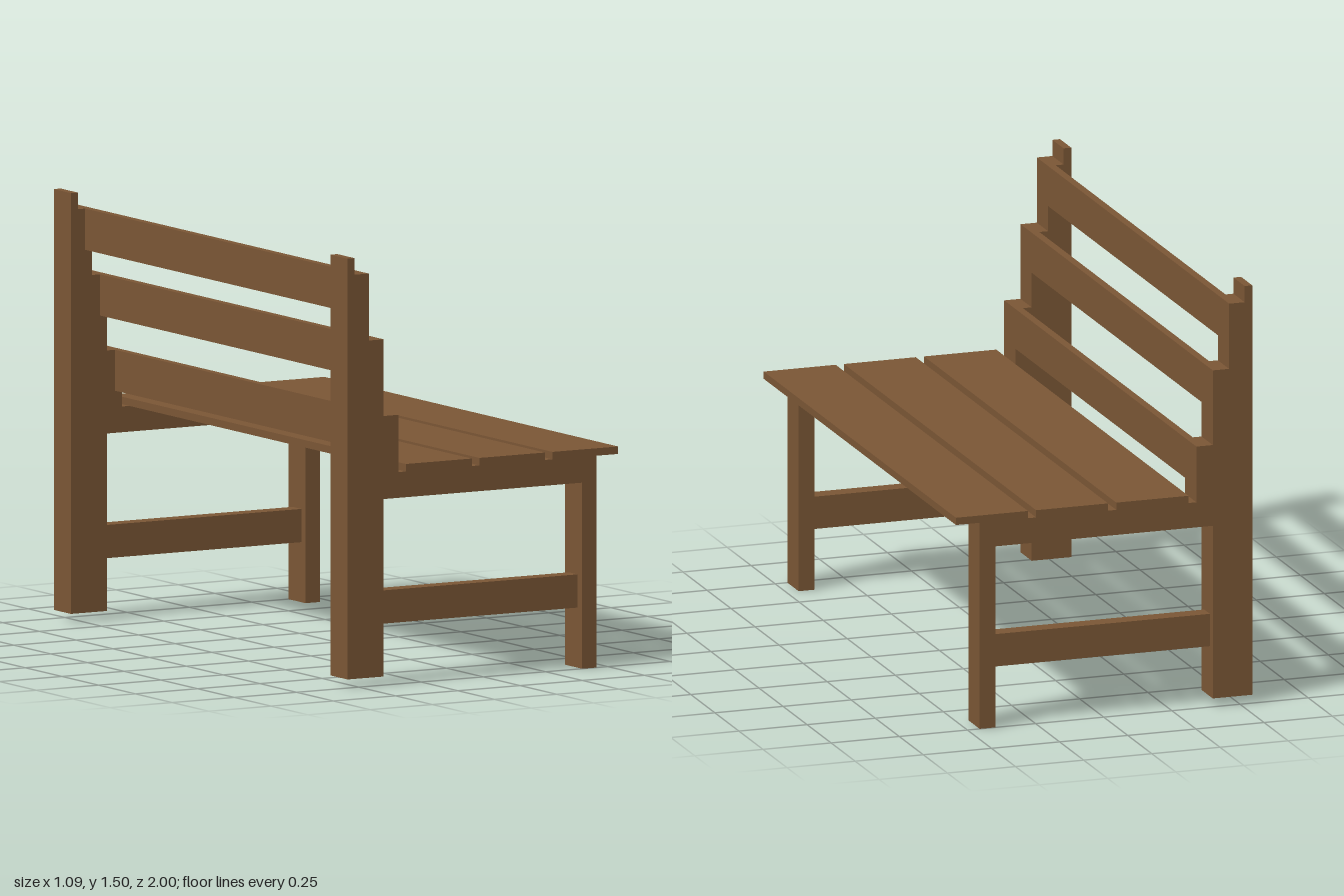
import * as THREE from 'three';

export function createModel() {
  const bench = new THREE.Group();
  bench.name = 'bench';
  const wood = new THREE.MeshStandardMaterial({ color: 0x7a5635 });
  wood.name = 'brown wood';

  // Box given by its low and high limits on each axis
  function box(name, [x0, x1], [y0, y1], [z0, z1], parent) {
    const mesh = new THREE.Mesh(new THREE.BoxGeometry(x1 - x0, y1 - y0, z1 - z0), wood);
    mesh.position.set((x0 + x1) / 2, (y0 + y1) / 2, (z0 + z1) / 2);
    mesh.name = name;
    parent.add(mesh);
  }

  const inner = 0.883, outer = 1;

  // Stepped back post outline, extruded across its thickness
  const postShape = new THREE.Shape([
    [-0.545, 0.03], [-0.4, 0.03], [-0.4, 0.74], [-0.34, 0.74], [-0.34, 0.94],
    [-0.4, 0.94], [-0.4, 1.208], [-0.46, 1.208], [-0.46, 1.442],
    [-0.517, 1.442], [-0.517, 1.5], [-0.545, 1.5],
  ].map(([x, y]) => new THREE.Vector2(x, y)));
  const postGeometry = new THREE.ExtrudeGeometry(postShape, { depth: outer - inner, bevelEnabled: false });

  // Two end frames: post, front leg, seat rail and inset stretcher
  for (const side of [1, -1]) {
    const frame = new THREE.Group();
    frame.name = side > 0 ? 'leftEndFrame' : 'rightEndFrame';
    const span = (a, b) => (side > 0 ? [a, b] : [-b, -a]);
    const post = new THREE.Mesh(postGeometry, wood);
    post.name = 'backPost';
    post.position.z = span(inner, outer)[0];
    frame.add(post);
    box('frontLeg', [0.397, 0.455], [0, 0.65], span(inner, outer), frame);
    box('seatRail', [-0.4, 0.455], [0.65, 0.74], span(inner, outer), frame);
    box('stretcher', [-0.4, 0.397], [0.21, 0.326], span(0.91, 0.97), frame);
    bench.add(frame);
  }

  // Seat boards
  for (const [x0, x1] of [[-0.311, -0.046], [-0.016, 0.248], [0.278, 0.542]]) {
    box('seatBoard', [x0, x1], [0.74, 0.766], [-1, 1], bench);
  }

  // Back slats, flush with the steps of the posts
  for (const [x, y0, y1] of [[-0.34, 0.797, 0.94], [-0.4, 1.064, 1.208], [-0.46, 1.298, 1.442]]) {
    box('backSlat', [x - 0.028, x], [y0, y1], [-inner, inner], bench);
  }

  return bench;
}
